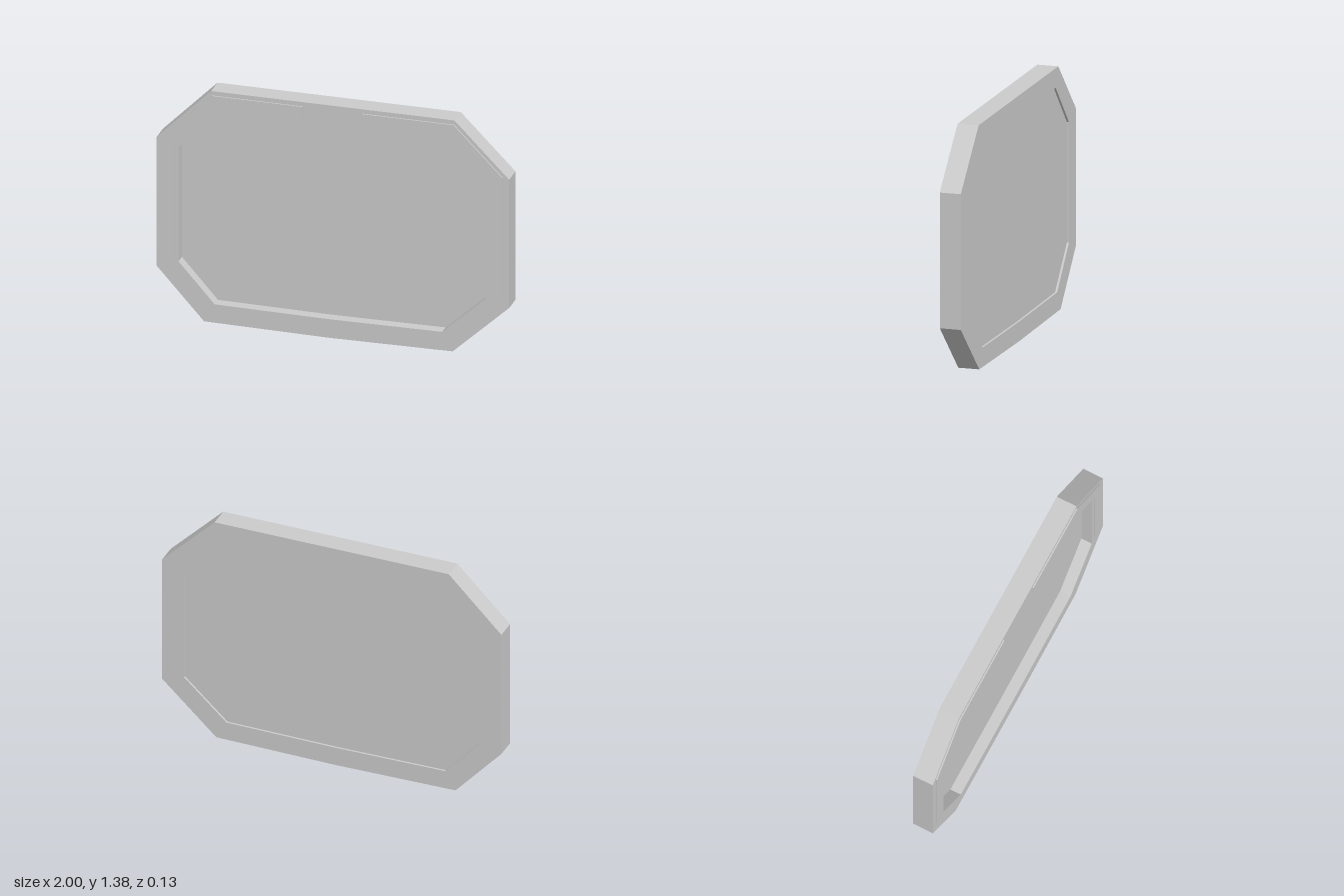
import * as THREE from 'three';

const material = new THREE.MeshStandardMaterial({ color: 0xcccccc, flatShading: true });
const toPoints = (list) => list.map(([x, y]) => new THREE.Vector2(x, y));

// Flat plate of the given outline between two depths, with an optional hole.
function plate(name, outline, zBack, zFront, hole) {
  const shape = new THREE.Shape(toPoints(outline));
  if (hole) shape.holes.push(new THREE.Path(toPoints(hole)));
  const geometry = new THREE.ExtrudeGeometry(shape, { depth: zFront - zBack, bevelEnabled: false });
  geometry.translate(0, 0, zBack);
  const mesh = new THREE.Mesh(geometry, material);
  mesh.name = name;
  return mesh;
}

export function createModel() {
  const group = new THREE.Group();
  group.name = 'octagonalPanel';

  // Outlines, with a slight bow along the bottom edge
  const outer = [
    [-0.73, 0.008], [-0.02, 0], [0.68, 0.008], [1, 0.305],
    [1, 1.065], [0.69, 1.377], [-0.69, 1.377], [-1, 1.065], [-1, 0.305],
  ];
  const inner = [
    [-0.67, 0.116], [-0.03, 0.11], [0.62, 0.116], [0.87, 0.345],
    [0.87, 1.02], [0.64, 1.267], [-0.645, 1.267], [-0.875, 1.02], [-0.875, 0.345],
  ];

  // Frame and the pane set inside it, deeper on the front than on the back
  group.add(plate('frame', outer, -0.064, 0.056, inner));
  group.add(plate('pane', inner, -0.052, -0.008));

  // Raised trim strips that follow the sides and upper corners
  const trim = [
    [0.17, 1.29], [0.662, 1.29], [0.895, 1.027], [0.895, 0.39],
    [0.965, 0.39], [0.965, 1.072], [0.687, 1.352], [0.17, 1.352],
  ];
  for (const [name, side] of [['leftTrim', 1], ['rightTrim', -1]]) {
    group.add(plate(name, trim.map(([x, y]) => [side * x, y]), 0.05, 0.064));
  }
  return group;
}
